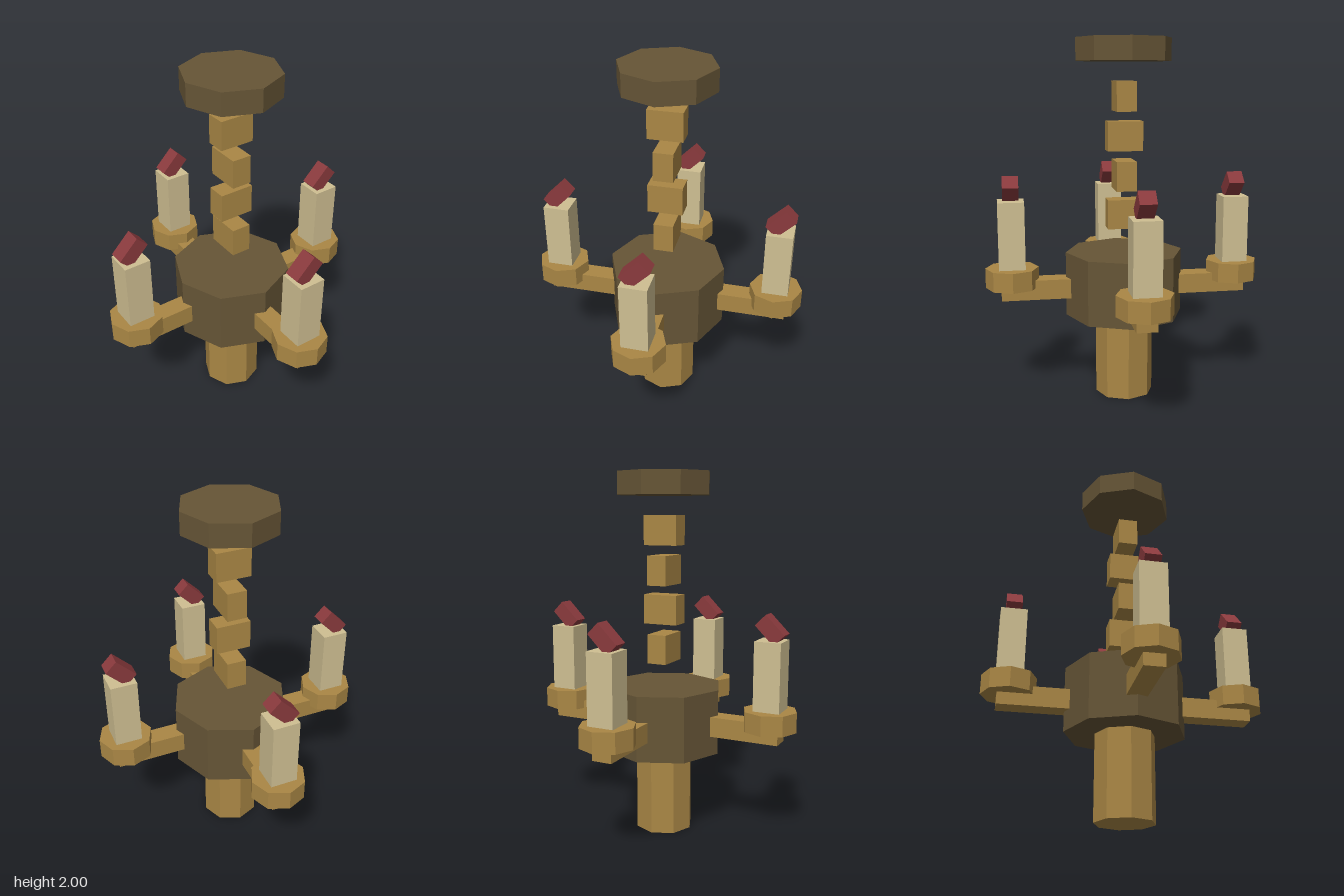
import * as THREE from 'three';

function material(name, color) {
  const m = new THREE.MeshStandardMaterial({ color });
  m.name = name;
  return m;
}

export function createModel() {
  const gold = material('gold', 0xaa8745);
  const bronze = material('darkBronze', 0x665536);
  const wax = material('wax', 0xcfbf92);
  const red = material('flameRed', 0x8a3a3d);
  const model = new THREE.Group();
  model.name = 'chandelier';

  function add(parent, name, geometry, mat, x, y, z) {
    const mesh = new THREE.Mesh(geometry, mat);
    mesh.name = name;
    mesh.position.set(x, y, z);
    parent.add(mesh);
    return mesh;
  }
  // Eight-sided prism with crisp facets, corners on the axes
  function octagon(radius, height) {
    return new THREE.CylinderGeometry(radius, radius, height, 8).toNonIndexed();
  }
  function prism(parent, name, radius, y0, y1, mat, x = 0, z = 0) {
    const geometry = octagon(radius, y1 - y0);
    geometry.computeVertexNormals();
    return add(parent, name, geometry, mat, x, (y0 + y1) / 2, z);
  }

  // Central body and ceiling mount
  prism(model, 'lowerColumn', 0.163, 0, 0.47, gold);
  prism(model, 'hub', 0.33, 0.467, 0.828, bronze);
  prism(model, 'ceilingMount', 0.263, 1.876, 2, bronze);

  // Chain links, alternately turned a quarter
  for (let i = 0; i < 4; i++) {
    const link = add(model, 'chainLink', new THREE.BoxGeometry(0.195, 0.162, 0.11), gold, 0, 1.043 + i * 0.2155, 0);
    link.rotation.y = i % 2 ? 0 : Math.PI / 2;
    // The lowest link lies along z, the highest along x
  }

  // Four arms, each carrying a cup, a candle and a flame
  for (let i = 0; i < 4; i++) {
    const angle = i * Math.PI / 2;
    const dx = Math.round(Math.cos(angle));
    const dz = Math.round(Math.sin(angle));
    const branch = new THREE.Group();
    branch.name = 'candleBranch';
    model.add(branch);

    const arm = add(branch, 'arm', new THREE.BoxGeometry(0.41, 0.11, 0.11), gold, dx * 0.485, 0.632, dz * 0.485);
    arm.rotation.y = -angle;

    const x = dx * 0.628, z = dz * 0.628;
    prism(branch, 'candleCup', 0.147, 0.644, 0.754, gold, x, z);
    add(branch, 'candle', new THREE.BoxGeometry(0.145, 0.376, 0.145), wax, x, 0.94, z);

    // All flames lean the same way, towards +x
    const flame = add(branch, 'flame', new THREE.BoxGeometry(0.083, 0.146, 0.087), red, x, 1.186, z);
    flame.rotation.z = -Math.PI / 4;
  }
  return model;
}
